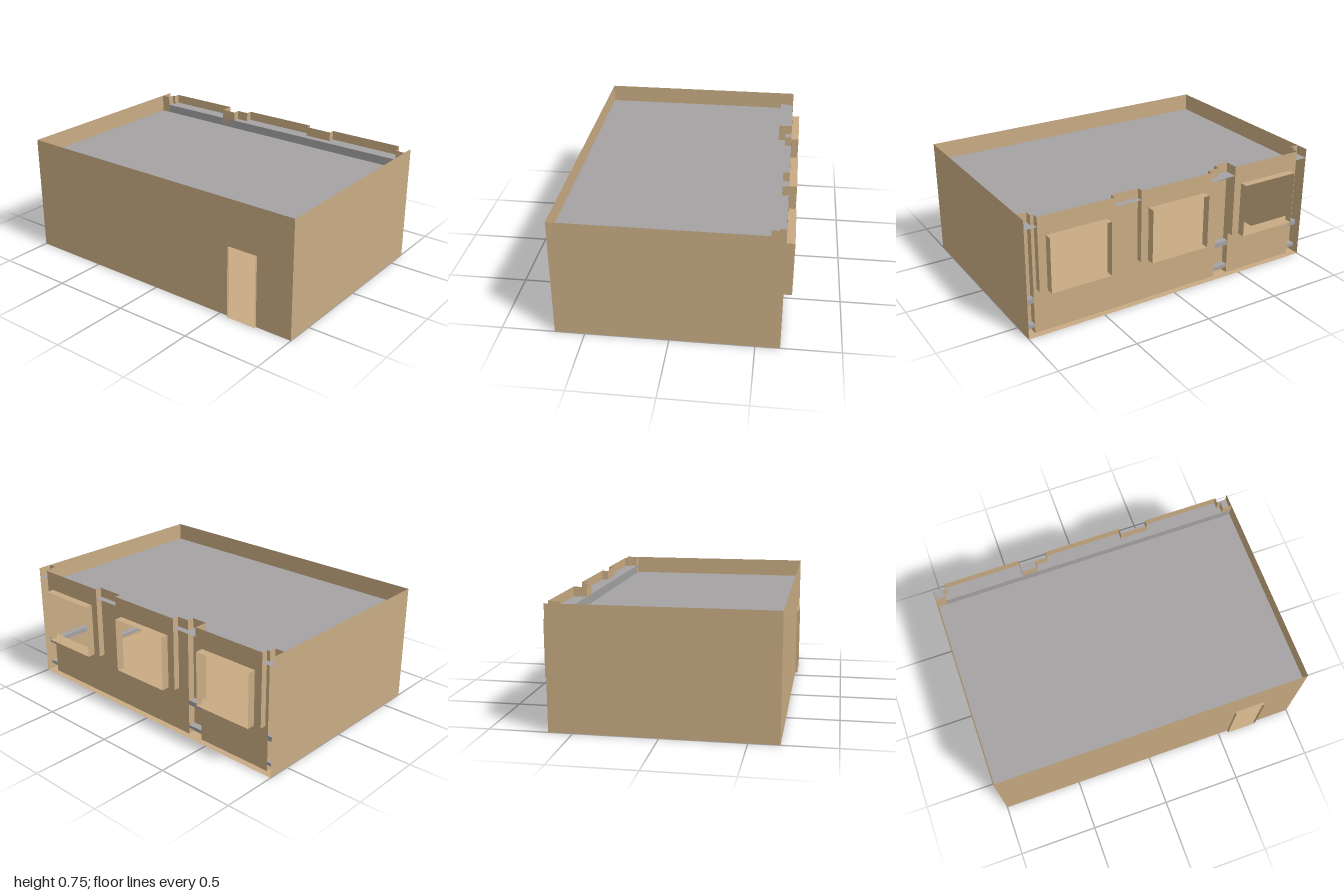
import * as THREE from 'three';

const H = 0.75, BACK = -0.645, FRONT = 0.68, SILL = 0.285, HEAD = 0.63;
const NICHE = -0.605, DEEP = -0.56, DOOR_TOP = 0.455, DOOR = [0.565, 0.76];
const WINDOWS = [[0.87, 0.48], [0.2, -0.2], [-0.48, -0.87]];

// Sweeps a 2D path in a straight line from a to b; place() maps (u, v, t) to a 3D point.
function sweep(path, a, b, place) {
  const pos = [];
  for (let i = 0; i + 1 < path.length; i++) {
    const [p, q] = [path[i], path[i + 1]];
    const c = [place(...p, a), place(...q, a), place(...q, b), place(...p, b)];
    for (const k of [0, 1, 2, 0, 2, 3]) pos.push(...c[k]);
  }
  const g = new THREE.BufferGeometry();
  g.setAttribute('position', new THREE.Float32BufferAttribute(pos, 3));
  g.computeVertexNormals();
  return g;
}
const upright = (x, z, t) => [x, t, z];
const alongX = (z, y, t) => [t, y, z];
const alongZ = (x, y, t) => [x, y, t];

export function createModel() {
  const model = new THREE.Group();
  const tan = new THREE.MeshStandardMaterial({ color: 0xc9ab83, side: THREE.DoubleSide });
  tan.name = 'tan wall';
  const grey = new THREE.MeshStandardMaterial({ color: 0xa4a2a3, side: THREE.DoubleSide });
  grey.name = 'grey ceiling';
  const add = (name, geometry, material = tan) => {
    const mesh = new THREE.Mesh(geometry, material);
    mesh.name = name;
    model.add(mesh);
    return mesh;
  };
  const wall = (name, path, y0, y1) => add(name, sweep(path, y0, y1, upright));
  const box = (name, x0, x1, y0, y1, z0, z1) => add(name,
    new THREE.BoxGeometry(x1 - x0, y1 - y0, z1 - z0), grey)
    .position.set((x0 + x1) / 2, (y0 + y1) / 2, (z0 + z1) / 2);

  // Floor and doorstep
  add('floor', sweep([[FRONT, 0], [BACK, 0]], -1, 1, alongX));

  // Ceiling, stepped up beside the windows
  add('ceiling', sweep([[FRONT, 0.635], [DEEP, 0.635], [DEEP, 0.69], [BACK, 0.69]], -1, 1, alongX), grey);

  // Side walls
  for (const s of [1, -1]) wall(s > 0 ? 'leftWall' : 'rightWall', [[s, FRONT], [s, BACK]], 0, H);

  // Front wall around the doorway
  wall('frontWallTop', [[-1, FRONT], [1, FRONT]], DOOR_TOP, H);
  wall('frontWallMain', [[-1, FRONT], [DOOR[0], FRONT]], 0, DOOR_TOP);
  wall('frontWallEnd', [[DOOR[1], FRONT], [1, FRONT]], 0, DOOR_TOP);

  // Projecting surrounds of the door and windows
  const surround = (name, x0, x1, y0, y1, z0, z1) => add(name,
    sweep([[x0, y0], [x1, y0], [x1, y1], [x0, y1], [x0, y0]], z0, z1, alongZ));
  surround('doorSurround', ...DOOR, 0, DOOR_TOP, FRONT, 0.695);
  for (const [a, b] of WINDOWS) surround('windowSurround', b, a, SILL, HEAD, BACK, -0.695);

  // Back wall below the sills, with deep slots at the ends and beside one niche
  wall('backWallBase', [
    [1, DEEP], [0.94, DEEP], [0.94, NICHE], [-0.33, NICHE], [-0.33, DEEP],
    [-0.43, DEEP], [-0.43, NICHE], [-0.94, NICHE], [-0.94, DEEP], [-1, DEEP],
  ], 0, SILL);

  // Back wall above the sills: runs of wall between the windows
  const [w1, w2, w3] = WINDOWS;
  const runs = [
    [[1, DEEP], [0.94, DEEP], [0.94, NICHE], [0.92, NICHE], [0.92, BACK], [w1[0], BACK]],
    [[w1[1], BACK], [0.43, BACK], [0.43, NICHE], [0.25, NICHE], [0.25, BACK], [w2[0], BACK]],
    [[w2[1], BACK], [-0.25, BACK], [-0.25, NICHE], [-0.33, NICHE], [-0.33, DEEP],
      [-0.43, DEEP], [-0.43, BACK], [w3[0], BACK]],
    [[w3[1], BACK], [-0.92, BACK], [-0.92, NICHE], [-0.94, NICHE], [-0.94, DEEP], [-1, DEEP]],
  ];
  for (const run of runs) wall('backWallPier', run, SILL, HEAD);
  wall('backWallTop', runs.flat(), HEAD, H);

  // Undersides of the projecting window bays
  for (const [a, b] of [[0.43, 0.92], [-0.25, 0.25], [-0.92, -0.43]])
    add('baySill', sweep([[NICHE, SILL], [BACK, SILL]], a, b, alongX));

  // Service rails along the back and one side wall
  for (const [y0, y1] of [[0.04, 0.06], [0.2, 0.23]]) {
    box('backRail', -0.999, 0.999, y0, y1, NICHE + 0.001, DEEP + 0.001);
    box('sideRail', 0.955, 0.999, y0, y1, DEEP + 0.001, FRONT - 0.001);
  }
  return model;
}
